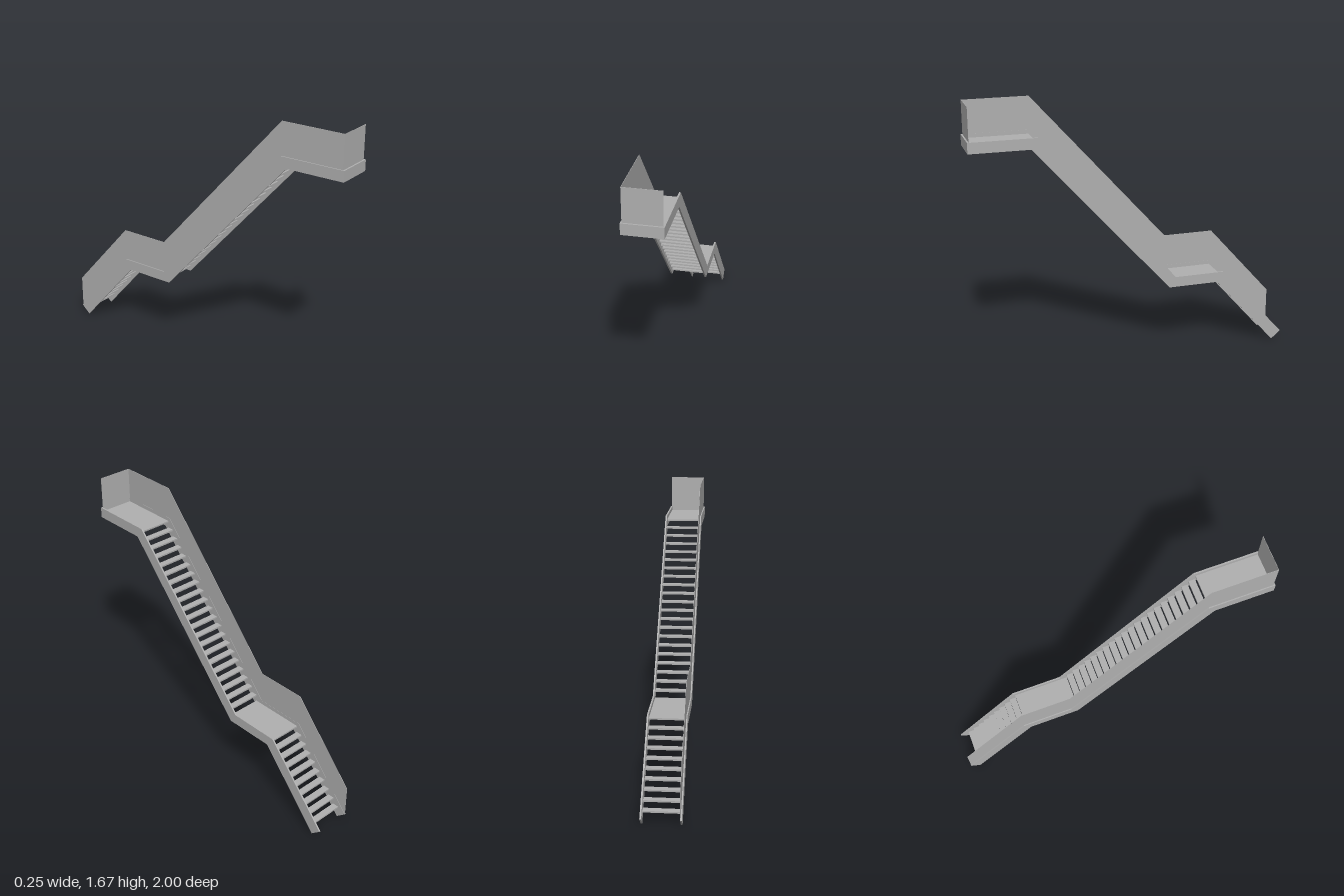
import * as THREE from 'three';

const HALF = 0.1175;    // half of the overall width
const PLATE = 0.01;     // thickness of stringers, treads and floors
const RISE = 0.0455, RUN = 0.041;

// Extrude a [z, y] outline along x, centred on the given x
function sidePlate(points, thickness, x) {
  const shape = new THREE.Shape(points.map(([z, y]) => new THREE.Vector2(z, y)));
  const geo = new THREE.ExtrudeGeometry(shape, { depth: thickness, bevelEnabled: false });
  geo.rotateY(-Math.PI / 2);
  geo.translate(x + thickness / 2, 0, 0);
  return geo;
}

export function createModel() {
  const model = new THREE.Group();
  model.name = 'staircase';
  const steel = new THREE.MeshStandardMaterial({ color: 0xb0b0b0 });
  steel.name = 'grey steel';

  const add = (name, geo) => {
    const mesh = new THREE.Mesh(geo, steel);
    mesh.name = name;
    model.add(mesh);
  };
  const box = (name, width, y0, y1, z0, z1) => {
    const geo = new THREE.BoxGeometry(width, y1 - y0, z1 - z0);
    geo.translate(0, (y0 + y1) / 2, (z0 + z1) / 2);
    add(name, geo);
  };

  // Upper edge of the stringers, from the top landing down to the foot
  const topEdge = [[0.99, 1.467], [0.591, 1.467], [-0.266, 0.512], [-0.587, 0.512], [-1, 0.052]];
  const bottomEdge = [[-0.941, 0], [-0.544, 0.447], [-0.224, 0.447], [0.632, 1.4], [0.99, 1.4]];

  // Stringers on both sides
  for (const side of [-1, 1]) {
    add(side < 0 ? 'rightStringer' : 'leftStringer',
      sidePlate([...topEdge, ...bottomEdge], PLATE, side * (HALF - PLATE / 2)));
  }

  // Fascia closing the front of the top landing
  box('frontFascia', HALF * 2, 1.4, 1.467, 0.99, 1);

  // Solid balustrade on one side and across the front
  const railTop = topEdge.map(([z, y]) => [z, y + 0.203]).reverse();
  add('sideBalustrade', sidePlate([...topEdge, ...railTop], 0.002, -(HALF - 0.008)));
  box('frontBalustrade', (HALF - 0.007) * 2, 1.467, 1.67, 0.988, 0.99);

  // Landings and treads between the stringers
  const inner = (HALF - PLATE) * 2;
  const flight = (count, firstStep, zStart) => {
    for (let i = 0; i < count; i++) {
      const y = 0.078 + (firstStep + i) * RISE, z = zStart + i * RUN;
      box('tread', inner, y - PLATE, y, z, z + RUN);
    }
  };
  flight(9, 0, -0.944);
  box('middleLanding', inner, 0.4775, 0.4875, -0.575, -0.22);
  flight(20, 10, -0.22);
  box('topLanding', inner, 1.433, 1.443, 0.6, 0.99);

  // The whole stair is turned very slightly
  model.rotation.y = 0.007;
  return model;
}
